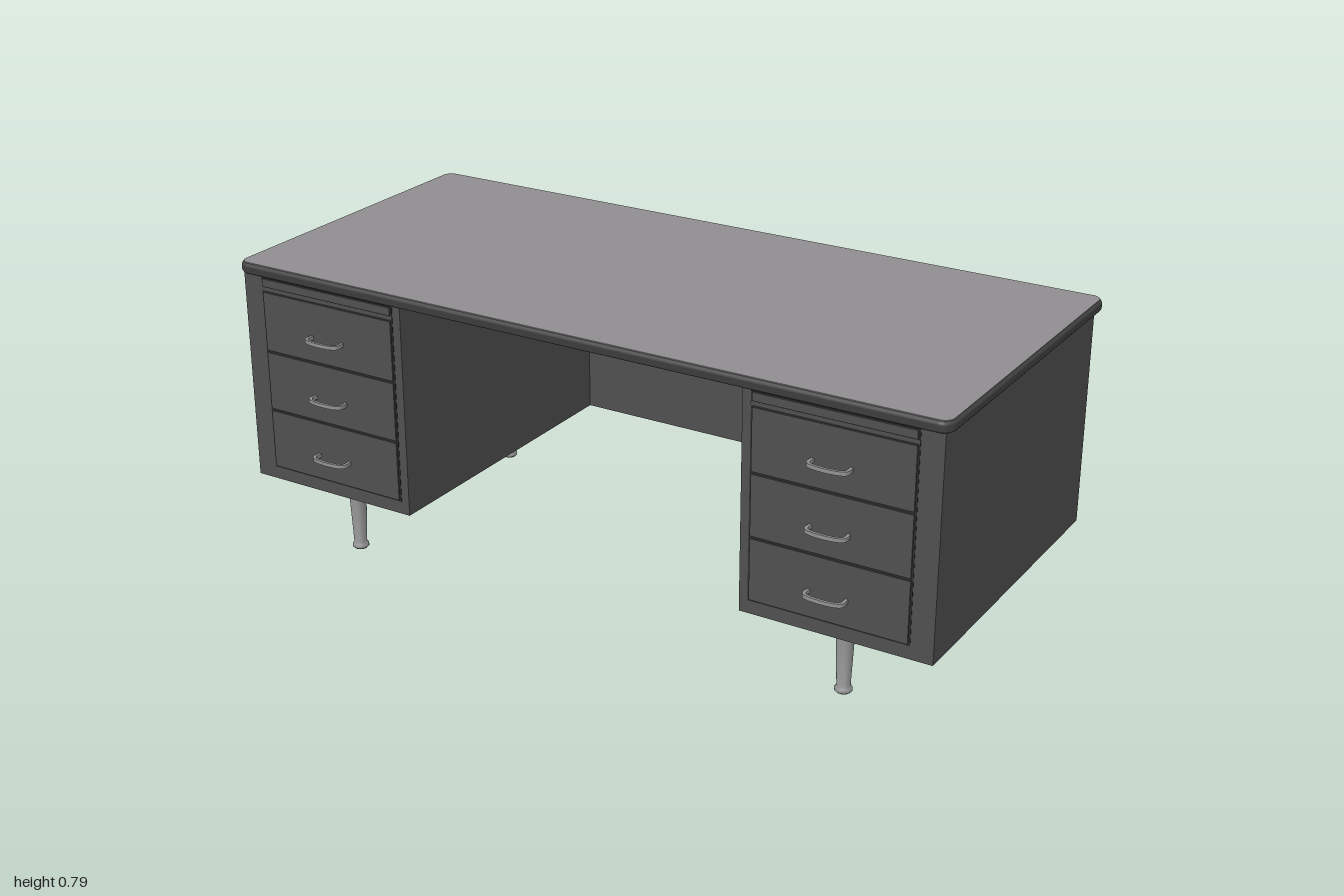
import * as THREE from 'three';
import { toCreasedNormals } from 'three/addons/utils/BufferGeometryUtils.js';

const mat = (name, color) => {
  const m = new THREE.MeshStandardMaterial({ color });
  m.name = name;
  return m;
};

// Rounded rectangle centred on the origin
function roundedRect(w, d, r) {
  const x = w / 2, y = d / 2, s = new THREE.Shape();
  s.moveTo(-x + r, -y);
  s.lineTo(x - r, -y).absarc(x - r, -y + r, r, -Math.PI / 2, 0);
  s.lineTo(x, y - r).absarc(x - r, y - r, r, 0, Math.PI / 2);
  s.lineTo(-x + r, y).absarc(-x + r, y - r, r, Math.PI / 2, Math.PI);
  s.lineTo(-x, -y + r).absarc(-x + r, -y + r, r, Math.PI, Math.PI * 1.5);
  return s;
}

export function createModel() {
  const steel = mat('dark steel', 0x505050);
  const rubber = mat('dark edge trim', 0x424242);
  const gap = mat('drawer gap', 0x2c2c2c);
  const laminate = mat('grey laminate', 0x8f8d8f);
  const metal = mat('brushed metal', 0x929292);

  const desk = new THREE.Group();
  desk.name = 'desk';

  const add = (parent, name, geo, material, x = 0, y = 0, z = 0) => {
    const m = new THREE.Mesh(geo, material);
    m.name = name;
    m.position.set(x, y, z);
    parent.add(m);
    return m;
  };
  // Box given by its lower and upper corners
  const box = (parent, name, material, a, b) => add(parent, name,
    new THREE.BoxGeometry(b[0] - a[0], b[1] - a[1], b[2] - a[2]), material,
    (a[0] + b[0]) / 2, (a[1] + b[1]) / 2, (a[2] + b[2]) / 2);

  // Desk top: rounded trim band with a laminate sheet on it
  const bevel = 0.01;
  const band = new THREE.ExtrudeGeometry(roundedRect(2 - 2 * bevel, 0.912 - 2 * bevel, 0.022), {
    depth: 0.03 - 2 * bevel, bevelEnabled: true, bevelThickness: bevel,
    bevelSize: bevel, bevelSegments: 4, curveSegments: 6,
  });
  band.rotateX(-Math.PI / 2);
  add(desk, 'topEdge', toCreasedNormals(band, 0.6), rubber, 0, 0.756 + bevel, -0.018);
  const sheet = new THREE.ExtrudeGeometry(roundedRect(1.988, 0.9, 0.026),
    { depth: 0.004, bevelEnabled: false, curveSegments: 6 });
  sheet.rotateX(-Math.PI / 2);
  add(desk, 'topSurface', sheet, laminate, 0, 0.7835, -0.018);

  // Panel closing the back of the knee space
  box(desk, 'backPanel', steel, [-0.486, 0.187, -0.44], [0.486, 0.757, -0.42]);

  // Flat bowed strap, drawn in plan and extruded upwards
  const bow = new THREE.Shape();
  bow.moveTo(-0.052, 0);
  bow.bezierCurveTo(-0.058, 0.03, -0.05, 0.034, -0.03, 0.038);
  bow.quadraticCurveTo(0, 0.043, 0.03, 0.038);
  bow.bezierCurveTo(0.05, 0.034, 0.058, 0.03, 0.052, 0);
  bow.lineTo(0.044, 0);
  bow.bezierCurveTo(0.049, 0.026, 0.044, 0.028, 0.028, 0.031);
  bow.quadraticCurveTo(0, 0.035, -0.028, 0.031);
  bow.bezierCurveTo(-0.044, 0.028, -0.049, 0.026, -0.044, 0);
  const handleGeo = new THREE.ExtrudeGeometry(bow, { depth: 0.01, bevelEnabled: false, curveSegments: 8 });
  handleGeo.rotateX(Math.PI / 2);

  // Tapered leg with a flared foot
  const legGeo = toCreasedNormals(new THREE.LatheGeometry([
    [0, 0], [0.018, 0], [0.022, 0.004], [0.022, 0.01], [0.018, 0.015],
    [0.017, 0.018], [0.024, 0.184], [0, 0.184],
  ].map(p => new THREE.Vector2(...p)), 24).toNonIndexed(), 0.7);

  for (const side of [-1, 1]) {
    const ped = new THREE.Group();
    ped.name = side < 0 ? 'rightPedestal' : 'leftPedestal';
    desk.add(ped);
    const span = (lo, hi) => side > 0 ? [lo, hi] : [-hi, -lo];
    const part = (name, material, xs, ys, zs) => {
      const [x0, x1] = span(...xs);
      box(ped, name, material, [x0, ys[0], zs[0]], [x1, ys[1], zs[1]]);
    };
    part('cabinet', steel, [0.485, 0.985], [0.187, 0.757], [-0.44, 0.428]);
    part('drawerRecess', gap, [0.508, 0.927], [0.221, 0.755], [0.425, 0.4292]);
    part('pullOutTray', steel, [0.513, 0.922], [0.731, 0.752], [0.42, 0.434]);
    part('trayRail', steel, [0.508, 0.927], [0.72, 0.729], [0.42, 0.4305]);

    // Three drawers, each with a bowed pull
    [[0.226, 0.385], [0.392, 0.549], [0.556, 0.715]].forEach((ys, i) => {
      part('drawerFront', steel, [0.513, 0.922], ys, [0.42, 0.433]);
      add(ped, 'drawerHandle', handleGeo, metal, side * 0.718, [0.298, 0.463, 0.627][i], 0.431);
    });

    // Front and rear legs on mounting plates
    for (const z of [0.343, -0.35]) {
      add(ped, 'leg', legGeo, metal, side * 0.724, 0, z);
      add(ped, 'legPlate', new THREE.BoxGeometry(0.092, 0.005, 0.092), steel, side * 0.724, 0.1845, z);
    }
  }
  return desk;
}
